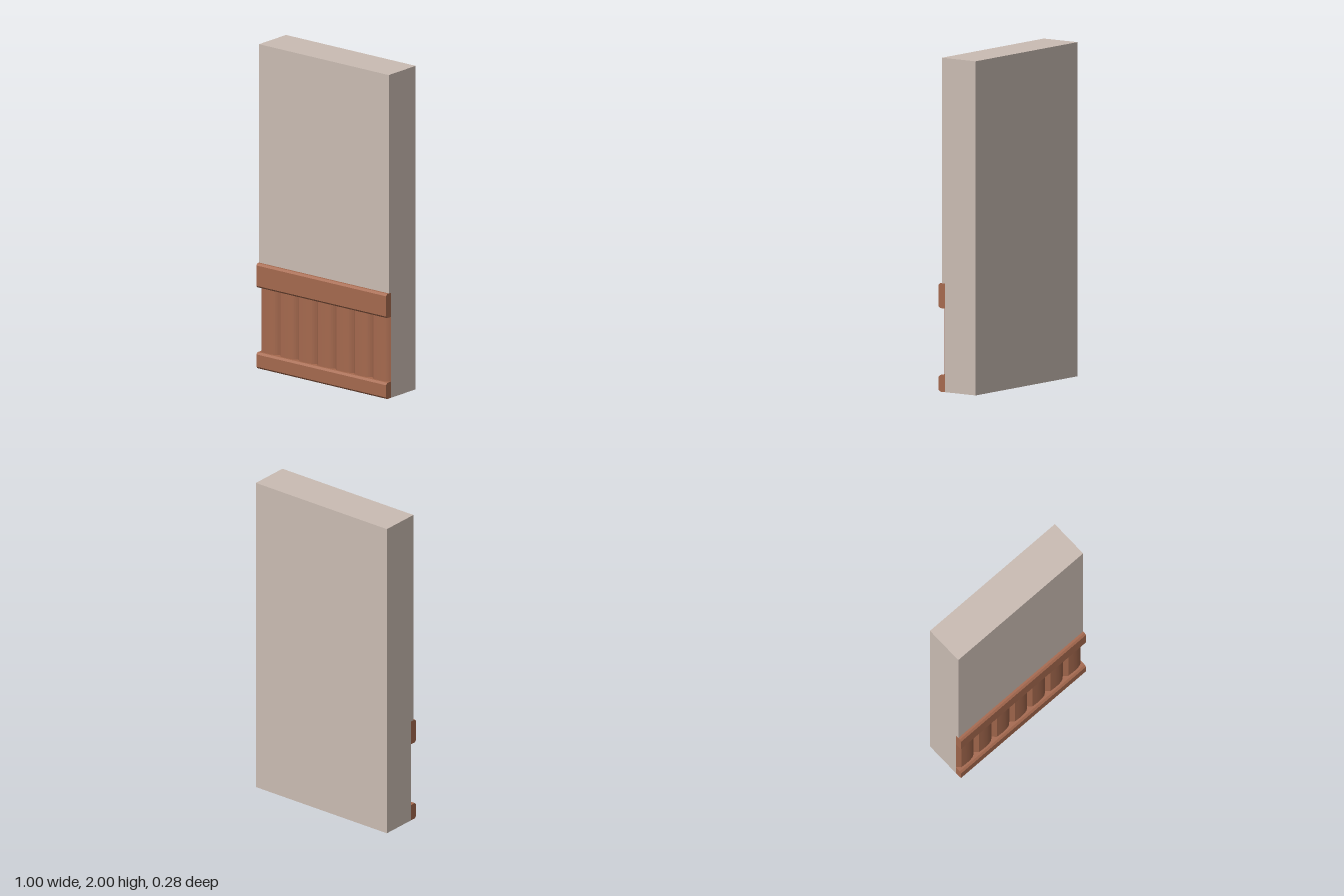
import * as THREE from 'three';
import { toCreasedNormals } from 'three/addons/utils/BufferGeometryUtils.js';

const mat = (name, color) => {
  const m = new THREE.MeshStandardMaterial({ color });
  m.name = name;
  return m;
};

// Extrude a (z, y) cross-section along the full width in x
function alongX(points) {
  const shape = new THREE.Shape(points.map(([z, y]) => new THREE.Vector2(z, y)));
  return new THREE.ExtrudeGeometry(shape, { depth: 1, bevelEnabled: false })
    .translate(0, 0, -0.5).rotateY(-Math.PI / 2);
}

export function createModel() {
  const group = new THREE.Group();
  const plaster = mat('plaster', 0xcabcb3);
  const wood = mat('wood', 0xa5694e);
  const BACK = -0.1375, FACE = 0.112, RECESS = 0.09, FRONT = 0.1375;
  const add = (name, geometry, material) => {
    const mesh = new THREE.Mesh(geometry, material);
    mesh.name = name;
    group.add(mesh);
  };

  // Wall slab, set back behind the panelling
  add('wall', alongX([[BACK, 0], [RECESS, 0], [RECESS, 0.65], [FACE, 0.65], [FACE, 2], [BACK, 2]]), plaster);

  // Chamfered skirting and upper rail
  const c = 0.012;
  const rail = (name, y0, y1) => add(name, alongX([
    [RECESS, y0], [FRONT - c, y0], [FRONT, y0 + c],
    [FRONT, y1 - c], [FRONT - c, y1], [RECESS, y1],
  ]), wood);
  rail('skirtingRail', 0, 0.1);
  rail('upperRail', 0.5, 0.65);

  // Seven boards: bevelled on the left, rounding away on the right
  const count = 7, w = 1 / count;
  const face = new THREE.SplineCurve([
    [0.024, 0.112], [0.065, 0.1145], [0.1, 0.1125], [0.124, 0.106], [w, RECESS],
  ].map(([x, z]) => new THREE.Vector2(x, -z))).getPoints(16);
  const profile = new THREE.Shape([new THREE.Vector2(0, -RECESS), ...face]);
  const board = toCreasedNormals(
    new THREE.ExtrudeGeometry(profile, { depth: 0.4, bevelEnabled: false }).rotateX(-Math.PI / 2), 0.5);
  for (let i = 0; i < count; i++) {
    add('board' + (i + 1), board.clone().translate(-0.5 + i * w, 0.1, 0), wood);
  }
  return group;
}
